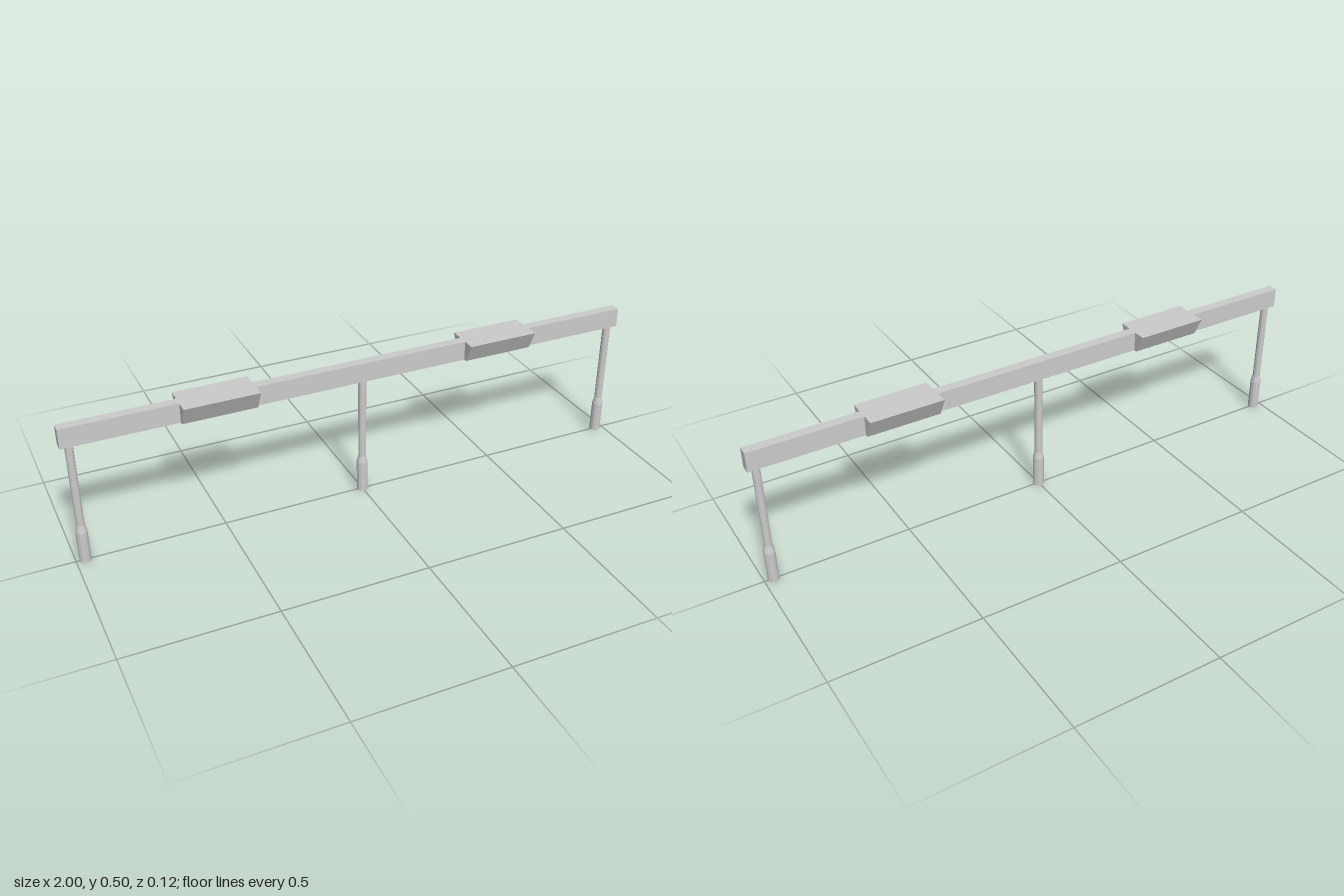
import * as THREE from 'three';

const BOTTOM = 0.427, TOP = 0.495;

export function createModel() {
  const group = new THREE.Group();
  const material = new THREE.MeshStandardMaterial({ color: 0xcccccc, flatShading: true });
  const add = (name, geometry, x, y) => {
    const mesh = new THREE.Mesh(geometry, material);
    mesh.name = name;
    mesh.position.set(x, y, 0);
    group.add(mesh);
  };

  // Long horizontal rail
  add('beam', new THREE.BoxGeometry(2, TOP - BOTTOM, 0.034), 0, (TOP + BOTTOM) / 2);

  // Posts with a thicker foot that tapers into a slim shaft
  const profile = [[0, 0], [0.019, 0], [0.019, 0.11], [0.0135, 0.135], [0.0135, BOTTOM], [0, BOTTOM]]
    .map(([r, y]) => new THREE.Vector2(r, y));
  const post = new THREE.LatheGeometry(profile, 12);
  [['rightPost', -0.97], ['middlePost', 0], ['leftPost', 0.97]].forEach(([name, x]) => add(name, post, x, 0));

  // Flared blocks, wider at the top, extruded along the rail
  const section = new THREE.Shape([[-0.028, BOTTOM], [0.028, BOTTOM], [0.061, TOP], [-0.061, TOP]]
    .map(([z, y]) => new THREE.Vector2(z, y)));
  const block = new THREE.ExtrudeGeometry(section, { depth: 0.25, bevelEnabled: false });
  block.translate(0, 0, -0.125).rotateY(Math.PI / 2);
  add('rightBlock', block, -0.5, 0);
  add('leftBlock', block, 0.5, 0);

  return group;
}
